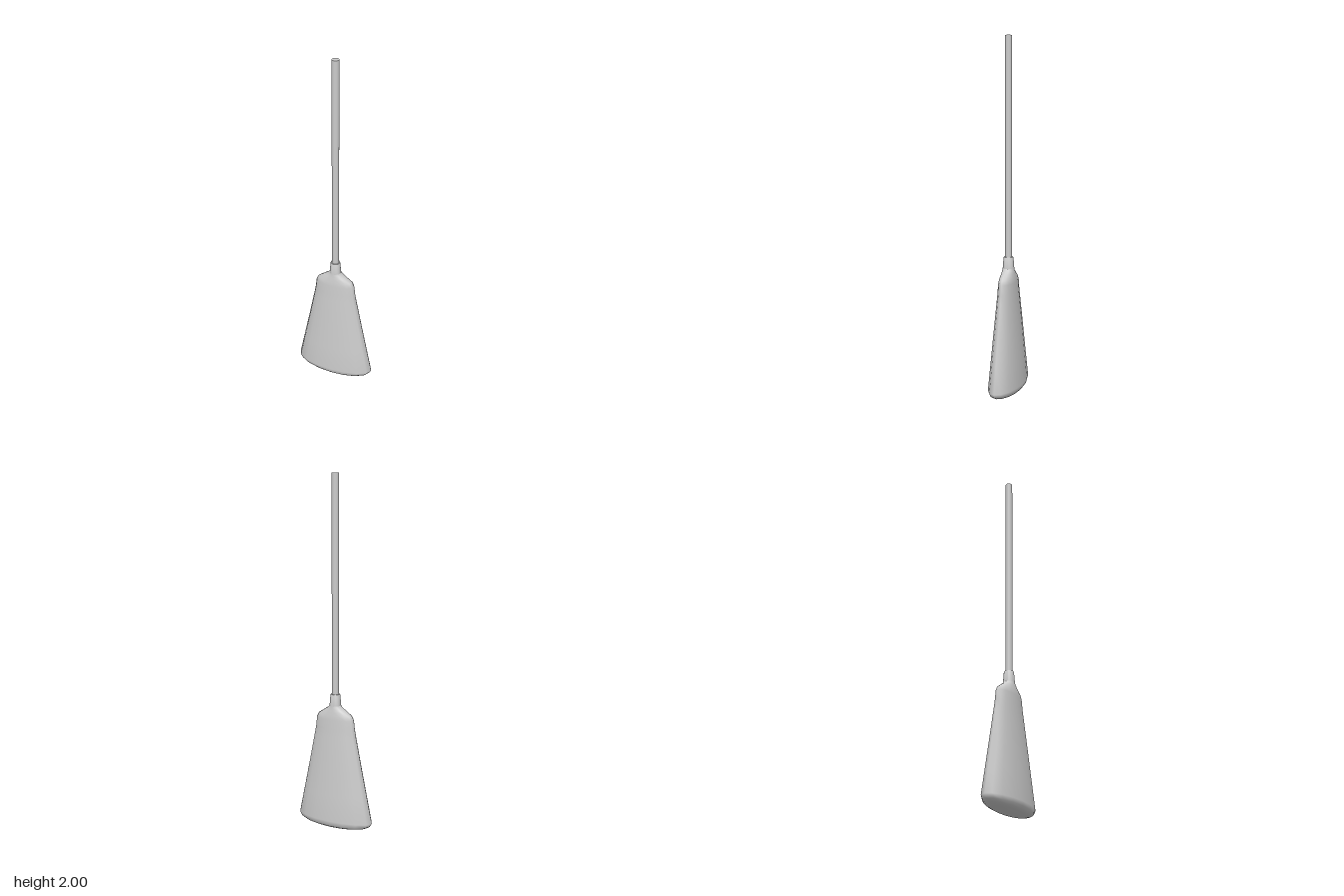
import * as THREE from 'three';
import { mergeVertices, toCreasedNormals } from 'three/addons/utils/BufferGeometryUtils.js';

const material = new THREE.MeshStandardMaterial({ color: 0xcccccc });

function addPart(group, name, geometry) {
  const mesh = new THREE.Mesh(geometry, material);
  mesh.name = name;
  group.add(mesh);
}

// Smooth lathe squashed to an ellipse per ring: rings are [y, half width, half depth]
function ellipticalLathe(rings, sides) {
  const profile = rings.map(([y, rx]) => new THREE.Vector2(rx, y));
  let geometry = new THREE.LatheGeometry(profile, sides);
  const pos = geometry.attributes.position;
  for (let i = 0; i < pos.count; i++) {
    const [, rx, rz] = rings[i % rings.length];
    if (rx > 0) pos.setZ(i, pos.getZ(i) * rz / rx);
  }
  // Weld the seam and poles so the shading stays continuous
  geometry.deleteAttribute('uv');
  geometry.deleteAttribute('normal');
  geometry = mergeVertices(geometry);
  geometry.computeVertexNormals();
  return geometry;
}

export function createModel() {
  const broom = new THREE.Group();
  broom.name = 'broom';

  // Flared bristle head with rounded shoulders and soft bottom edge
  addPart(broom, 'bristleHead', ellipticalLathe([
    [0, 0, 0],
    [0.005, 0.16, 0.056],
    [0.015, 0.2, 0.073],
    [0.028, 0.222, 0.082],
    [0.05, 0.236, 0.087],
    [0.2, 0.204, 0.076],
    [0.37, 0.168, 0.064],
    [0.537, 0.134, 0.051],
    [0.585, 0.125, 0.047],
    [0.637, 0.119, 0.044],
    [0.662, 0.106, 0.041],
    [0.69, 0.064, 0.036],
    [0.705, 0.04, 0.034],
    [0.715, 0.033, 0.033],
  ], 16));

  // Tapered collar gripping the handle, with a small bevel at its rim
  const collarProfile = [[0.033, 0.712], [0.028, 0.775], [0.026, 0.78], [0.018, 0.78]]
    .map(([r, y]) => new THREE.Vector2(r, y));
  addPart(broom, 'collar', toCreasedNormals(new THREE.LatheGeometry(collarProfile, 24), 0.6));

  // Long straight handle
  const handle = new THREE.CylinderGeometry(0.02, 0.02, 1.3, 24);
  handle.translate(0, 1.35, 0);
  addPart(broom, 'handle', handle);

  return broom;
}
